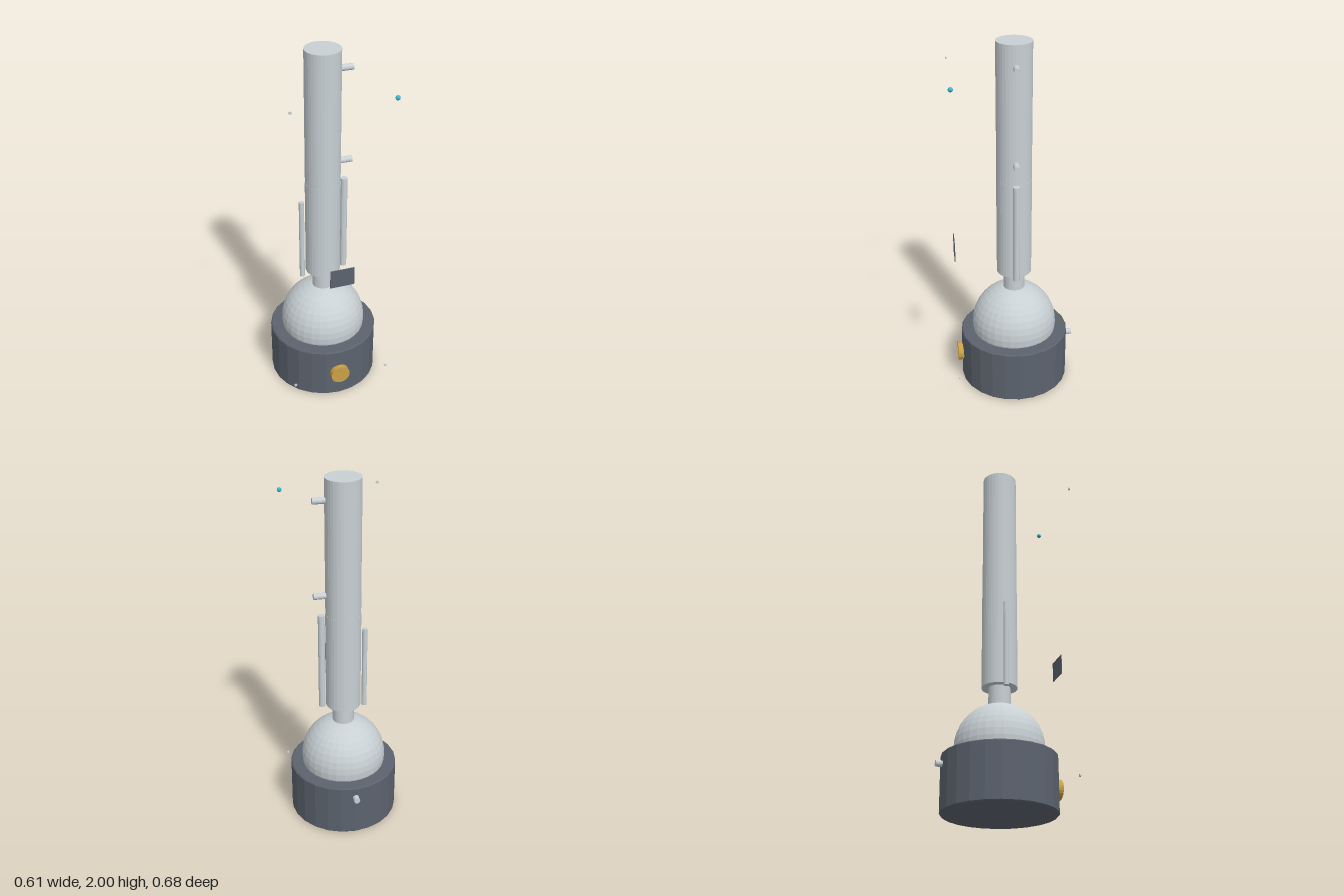
import * as THREE from 'three';

export function createModel() {
  const model = new THREE.Group();
  const material = (name, color) => {
    const m = new THREE.MeshStandardMaterial({ color, flatShading: true });
    m.name = name;
    return m;
  };
  const steel = material('light steel', 0xc8d0d4);
  const slate = material('dark slate', 0x5c636e);
  const brass = material('brass', 0xc9a045);
  const cyan = material('cyan', 0x3cb8c8);
  const axisZ = -0.007; // the column stands slightly behind the centre

  const add = (name, geometry, mat, x, y, z) => {
    const mesh = new THREE.Mesh(geometry, mat);
    mesh.name = name;
    mesh.position.set(x, y, z);
    model.add(mesh);
    return mesh;
  };
  // Upright cylinder between two heights
  const upright = (name, r, y0, y1, mat, x = 0, sides = 32) =>
    add(name, new THREE.CylinderGeometry(r, r, y1 - y0, sides), mat, x, (y0 + y1) / 2, axisZ);
  // Cylinder lying along z
  const alongZ = (name, r, z0, z1, mat, x, y, sides = 24) =>
    add(name, new THREE.CylinderGeometry(r, r, z1 - z0, sides).rotateX(Math.PI / 2), mat, x, y, (z0 + z1) / 2);

  // Drum base with slightly eased rims
  const rim = [[0, 0], [0.298, 0], [0.304, 0.006], [0.304, 0.299], [0.298, 0.305], [0, 0.305]];
  add('base', new THREE.LatheGeometry(rim.map(p => new THREE.Vector2(...p)), 24), slate, 0, 0, axisZ);

  // Dome and column
  add('dome', new THREE.SphereGeometry(0.238, 32, 20), steel, 0, 0.35, axisZ);
  upright('neck', 0.06, 0.56, 0.69, steel);
  upright('lowerTube', 0.097, 0.683, 1.247, steel);
  upright('upperTube', 0.096, 1.247, 2, steel);

  // Side rods
  upright('leftRod', 0.019, 0.683, 1.247, steel, 0.121, 16);
  upright('rightRod', 0.0145, 0.657, 1.14, steel, -0.121, 16);

  // Pegs on the upper tube
  for (const y of [1.36, 1.884]) {
    const geometry = new THREE.CylinderGeometry(0.017, 0.017, 0.082, 16).rotateZ(Math.PI / 2);
    add('peg', geometry, steel, 0.121, y, axisZ);
  }

  // Front knob, rear outlet and display plate
  alongZ('knob', 0.054, 0.28, 0.322, brass, 0, 0.155);
  alongZ('rearOutlet', 0.017, -0.343, -0.28, steel, 0, 0.242, 16);
  add('displayPlate', new THREE.BoxGeometry(0.134, 0.108, 0.004), slate, 0, 0.841, 0.325);

  // Corner screws and indicator light
  for (const x of [-0.269, 0.269]) {
    for (const y of [0.16, 1.843]) alongZ('screw', 0.008, 0.324, 0.33, steel, x, y, 12);
  }
  add('indicatorLight', new THREE.SphereGeometry(0.0125, 16, 12), cyan, 0.268, 1.843, 0.329);

  return model;
}
